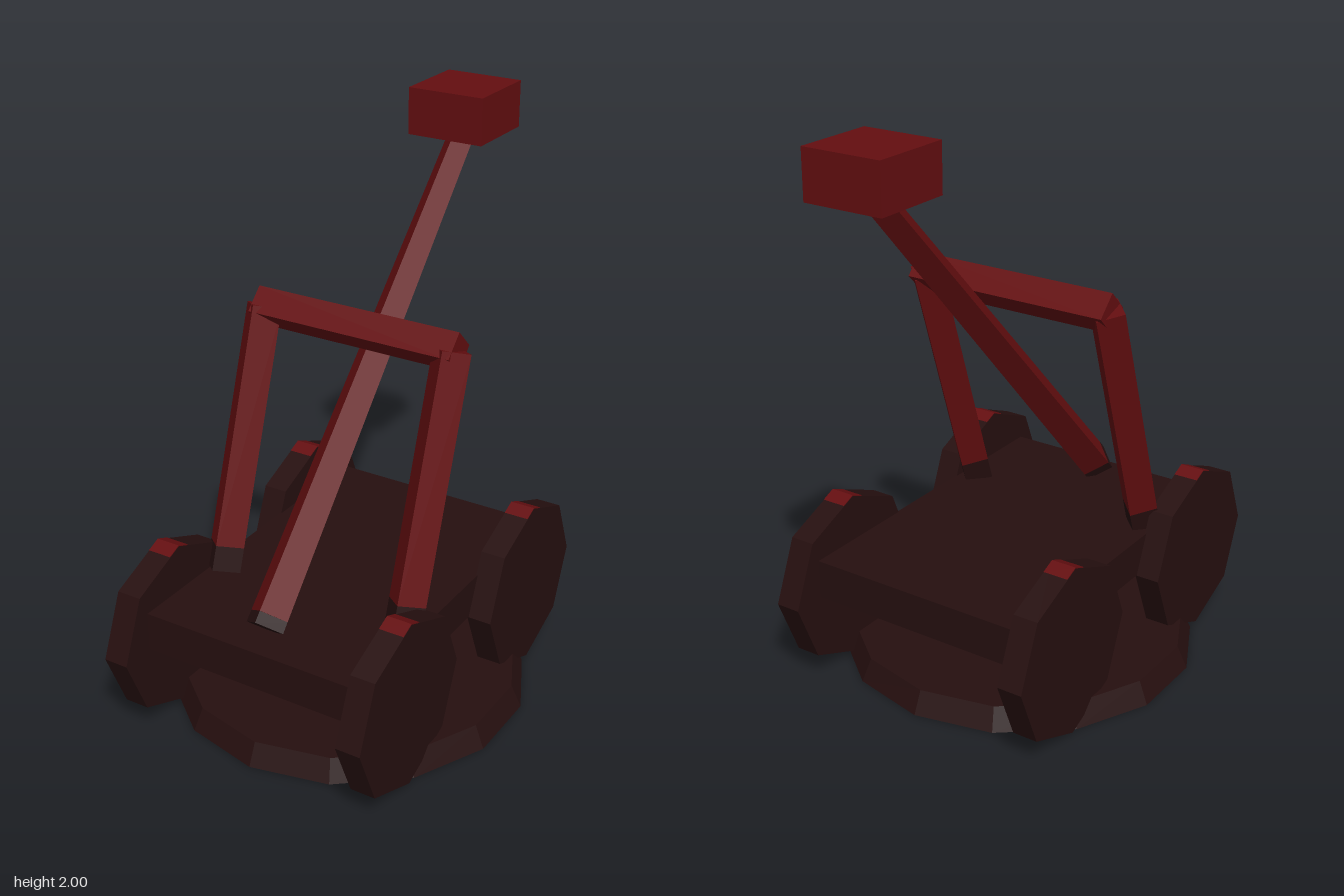
import * as THREE from 'three';

export function createModel() {
  const model = new THREE.Group();
  const red = new THREE.MeshStandardMaterial({ color: 0x640e10, flatShading: true });
  red.name = 'dark red wood';
  const dark = new THREE.MeshStandardMaterial({ color: 0x260f0f, flatShading: true });
  dark.name = 'blackened wood';

  const add = (name, geometry, material, x, y, z) => {
    const mesh = new THREE.Mesh(geometry, material);
    mesh.name = name;
    mesh.position.set(x, y, z);
    model.add(mesh);
    return mesh;
  };

  // Four-sided beam, edge forward, leaning in the y-z plane; points are [y, z]
  const beam = (name, material, x, a, b, rA, rB) => {
    const dy = b[0] - a[0], dz = b[1] - a[1];
    const geometry = new THREE.CylinderGeometry(rB, rA, Math.hypot(dy, dz), 4);
    const mesh = add(name, geometry, material, x, (a[0] + b[0]) / 2, (a[1] + b[1]) / 2);
    mesh.rotation.x = Math.atan2(dz, dy);
  };

  // Ground disc and platform
  add('groundDisc', new THREE.CylinderGeometry(0.6, 0.636, 0.08, 14), dark, 0, 0.04, 0.08);
  add('platform', new THREE.BoxGeometry(0.83, 0.14, 1.24), dark, 0, 0.387, 0.08);

  // Red ridge on top of each wheel
  const w = 0.05, drop = w * Math.tan(Math.PI / 8);
  const ridge = new THREE.ExtrudeGeometry(
    new THREE.Shape([[-w, -drop], [w, -drop], [0, 0]].map(p => new THREE.Vector2(...p))),
    { depth: 0.089, bevelEnabled: false });
  ridge.translate(0, 0, -0.0445).rotateY(Math.PI / 2);

  const wheel = new THREE.CylinderGeometry(0.31, 0.31, 0.09, 8).rotateZ(Math.PI / 2);
  for (const side of [-1, 1]) {
    for (const [place, z] of [['front', 0.515], ['rear', -0.347]]) {
      add(place + 'Wheel', wheel, dark, side * 0.455, 0.315, z);
      add(place + 'WheelRidge', ridge, red, side * 0.455, 0.628, z);
    }
    // Leaning uprights with dark feet
    beam('uprightFoot', dark, side * 0.363, [0.46, 0.331], [0.545, 0.303], 0.07, 0.07);
    beam('upright', red, side * 0.363, [0.545, 0.303], [1.35, 0.04], 0.07, 0.07);
  }

  // Crossbar
  add('crossbar', new THREE.CylinderGeometry(0.07, 0.07, 0.77, 4).rotateZ(Math.PI / 2),
    red, 0, 1.345, 0.035);

  // Throwing arm and its bucket block
  beam('armFoot', dark, 0, [0.49, 0.603], [0.52, 0.575], 0.072, 0.0715);
  beam('throwingArm', red, 0, [0.52, 0.575], [1.88, -0.715], 0.0715, 0.05);
  add('bucket', new THREE.BoxGeometry(0.285, 0.165, 0.285), red, 0, 1.9175, -0.683);

  return model;
}
